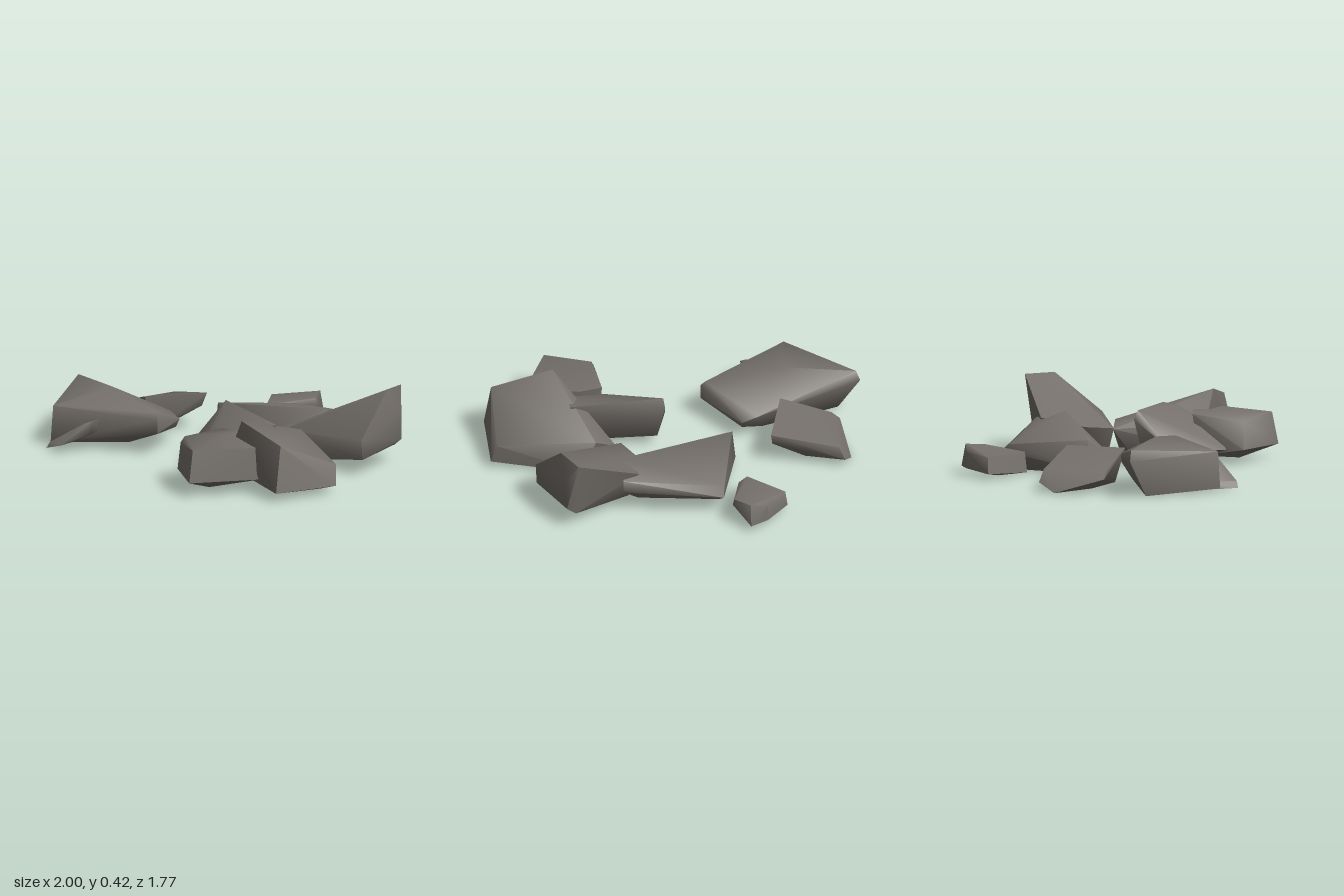
import * as THREE from 'three';
import { ConvexGeometry } from 'three/addons/geometries/ConvexGeometry.js';
import { toCreasedNormals } from 'three/addons/utils/BufferGeometryUtils.js';

const stone = new THREE.MeshStandardMaterial({ color: 0x75706b });
stone.name = 'grey stone';

// A chipped rock: the hull of a few corner points, soft across all but the sharpest bends
function rock(name, corners) {
  const hull = new ConvexGeometry(corners.map(c => new THREE.Vector3(...c)));
  const mesh = new THREE.Mesh(toCreasedNormals(hull, 1.2), stone);
  mesh.name = name;
  return mesh;
}

// Corners as [x, y, z]: upper rim first, then the underside
const rocks = {
  backPebble: [
    [-0.16, 0.12, -0.79], [0, 0.13, -0.88], [0.1, 0.16, -0.87],
    [0.14, 0.15, -0.76], [0.02, 0.13, -0.6], [-0.05, 0.13, -0.57],
    [-0.175, 0.03, -0.79], [0.11, 0.04, -0.89], [0.15, 0.12, -0.76],
    [-0.06, 0.02, -0.56], [0, 0.04, -0.88], [0.05, 0.01, -0.65], [-0.08, 0.01, -0.72],
  ],
  backRightRock: [
    [-0.77, 0.12, -0.24], [-0.63, 0.12, -0.56], [-0.31, 0.2, -0.38], [-0.53, 0.21, -0.1],
    [-0.81, 0.08, -0.26], [-0.73, 0, -0.52], [-0.65, 0.05, -0.59],
    [-0.33, 0.13, -0.36], [-0.5, 0.02, -0.15], [-0.5, 0.03, -0.42], [-0.65, 0.01, -0.3],
  ],
  rightSlab: [
    [-0.98, 0.26, -0.14], [-0.65, 0.285, 0.05], [-0.38, 0.15, -0.12], [-0.3, 0.12, -0.09],
    [-0.25, 0.23, 0.22], [-0.82, 0.22, 0.36],
    [-1, 0.2, -0.15], [-0.23, 0.2, 0.24], [-0.23, 0.12, 0.24], [-0.83, 0.02, 0.37],
    [-0.92, 0, -0.05], [-0.45, 0.03, 0.18], [-0.45, 0.03, -0.05],
    [-0.31, 0.08, -0.07],
  ],
  rightChip: [
    [-0.77, 0.05, 0.47], [-0.6, 0.16, 0.39], [-0.56, 0.17, 0.38], [-0.56, 0.17, 0.28],
    [-0.78, 0.05, 0.3], [-0.79, 0.01, 0.36], [-0.79, 0.015, 0.475], [-0.7, 0.04, 0.475],
    [-0.57, 0.1, 0.38], [-0.57, 0.1, 0.28], [-0.7, 0.03, 0.28],
  ],
  backSlab: [
    [-0.15, 0.2, -0.24], [0.12, 0.15, -0.62], [0.62, 0.22, -0.4], [0.55, 0.26, -0.25],
    [-0.15, 0.1, -0.22], [0.15, 0.11, -0.665], [0.62, 0.15, -0.4],
    [-0.17, 0.03, -0.24], [0.09, 0.04, -0.04], [0.42, 0.08, -0.13],
    [-0.05, 0, -0.22], [0.1, 0.01, -0.53], [0.5, 0.05, -0.35], [0.15, 0.01, -0.1],
  ],
  backLeftRock: [
    [0.91, 0.415, -0.415], [0.925, 0.42, -0.25], [0.52, 0.23, -0.39],
    [0.41, 0.18, -0.01], [0.41, 0.19, -0.17], [0.93, 0.2, 0.01],
    [0.95, 0.3, -0.35], [0.95, 0.13, -0.36], [0.93, 0.09, 0],
    [0.45, 0.02, -0.04], [0.9, 0.09, -0.37], [0.55, 0.07, -0.33],
  ],
  frontLeftSlab: [
    [0.51, 0.37, 0.55], [0.83, 0.3, 0.66], [0.98, 0.15, 0.34],
    [0.55, 0.21, 0.02], [0.44, 0.17, -0.01], [0.41, 0.2, 0.49],
    [1, 0.04, 0.37], [0.84, 0.05, 0.72], [0.62, 0.01, 0.5],
    [0.6, 0.01, 0.06], [0.45, 0.02, 0.1], [0.42, 0.06, 0.46], [0.92, 0.02, 0.4],
  ],
  middleRock: [
    [0.1, 0.32, 0.07], [0.52, 0.29, 0.37], [0.56, 0.295, 0.28], [0.1, 0.27, 0.05],
    [0, 0.13, 0.22], [-0.01, 0.1, 0.24], [0.2, 0.08, 0.57], [0.32, 0.16, 0.55],
    [0.12, 0.07, 0.1], [0.5, 0.05, 0.31], [0.35, 0.02, 0.5], [0.25, 0.02, 0.35],
  ],
  frontRock: [
    [0.21, 0.265, 0.65], [0.39, 0.255, 0.85], [0.66, 0.255, 0.6],
    [0.42, 0.27, 0.42], [0.29, 0.265, 0.4], [0.19, 0.23, 0.66],
    [0.17, 0.08, 0.66], [0.39, 0.08, 0.885], [0.665, 0.08, 0.61],
    [0.4, 0.03, 0.45], [0.28, 0.04, 0.44], [0.38, 0.01, 0.67],
  ],
};

export function createModel() {
  const group = new THREE.Group();
  group.name = 'scatteredRocks';
  for (const [name, corners] of Object.entries(rocks)) group.add(rock(name, corners));
  return group;
}
